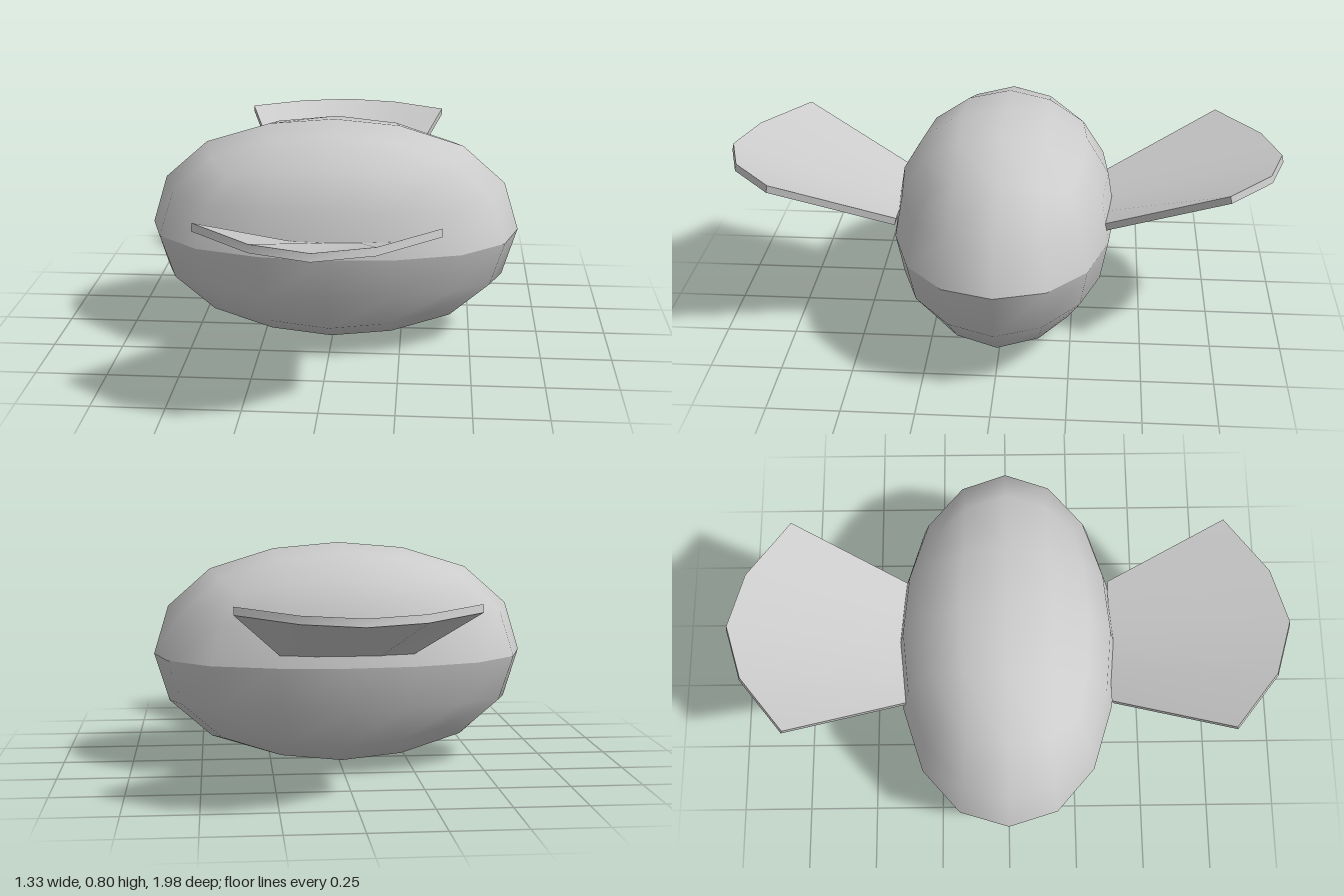
import * as THREE from 'three';
import { mergeVertices } from 'three/addons/utils/BufferGeometryUtils.js';

const material = new THREE.MeshStandardMaterial({ color: 0xcccccc });

// Rounded-cube table: sorted |x|,|y|,|z| of a 4x4x4 box -> radius of the 1s and of the halves
const ROUND = {
  '1,0,0': [1, 0], '1,0.5,0': [0.933, 0.4], '1,1,0': [0.732, 0],
  '1,0.5,0.5': [0.87, 0.371], '1,1,0.5': [0.682, 0.344], '1,1,1': [0.58, 0],
};

function roundPoint(p) {
  const c = p.toArray();
  const key = c.map(Math.abs).sort((a, b) => b - a).join(',');
  const [one, half] = ROUND[key];
  const [x, y, z] = c.map(v => Math.sign(v) * (Math.abs(v) === 1 ? one : half));
  const t = Math.abs(x), swell = 1 + 0.1 * t * t; // fuller towards the two ends
  return p.set((x - 0.2 * x * (1 - t)) * 0.667, y * swell * 0.398, z * swell * 0.395);
}

// One half of the body; the halves meet in a crease at mid height
function bodyHalf(side) {
  const src = new THREE.BoxGeometry(2, 2, 2, 4, 4, 4).toNonIndexed().attributes.position;
  const points = [];
  for (let i = 0; i < src.count; i += 3) {
    const tri = [0, 1, 2].map(k => new THREE.Vector3().fromBufferAttribute(src, i + k));
    if ((tri[0].y + tri[1].y + tri[2].y) * side > 0) tri.forEach(p => points.push(roundPoint(p)));
  }
  const geo = mergeVertices(new THREE.BufferGeometry().setFromPoints(points), 1e-4);
  geo.computeVertexNormals();
  const mesh = new THREE.Mesh(geo, material);
  mesh.position.set(0, 0.402, -0.002);
  return mesh;
}

// Thin fan-shaped plate, narrow at the body, rising outwards, slightly dished
function wing() {
  const geo = new THREE.BoxGeometry(2, 1, 1, 4, 1, 1);
  const pos = geo.attributes.position;
  const tipX = [0, 0.192, 0.388], tipZ = [0.992, 0.935, 0.78], tipY = [0.617, 0.621, 0.632];
  for (let i = 0; i < pos.count; i++) {
    const s = pos.getX(i), k = Math.round(Math.abs(s) * 2);
    const top = pos.getY(i) > 0 ? 1 : 0;
    const outer = pos.getZ(i) > 0;
    const x = outer ? Math.sign(s) * tipX[k] : 0.23 * s;
    const y = outer ? tipY[k] : 0.434 + 0.009 * s * s;
    const z = outer ? tipZ[k] : 0.372;
    pos.setXYZ(i, x, y + top * 0.026, z - top * 0.006);
  }
  geo.computeVertexNormals();
  return new THREE.Mesh(geo, material);
}

export function createModel() {
  const model = new THREE.Group();

  const upper = bodyHalf(1);
  upper.name = 'upperBody';
  const lower = bodyHalf(-1);
  lower.name = 'lowerBody';

  // The pair of wings is tipped a touch, the rear one sitting higher
  const wings = new THREE.Group();
  wings.name = 'wings';
  wings.rotation.x = 0.0065;
  const front = wing();
  front.name = 'frontWing';
  const back = wing();
  back.name = 'backWing';
  back.rotation.y = Math.PI;
  wings.add(front, back);

  model.add(upper, lower, wings);
  return model;
}
